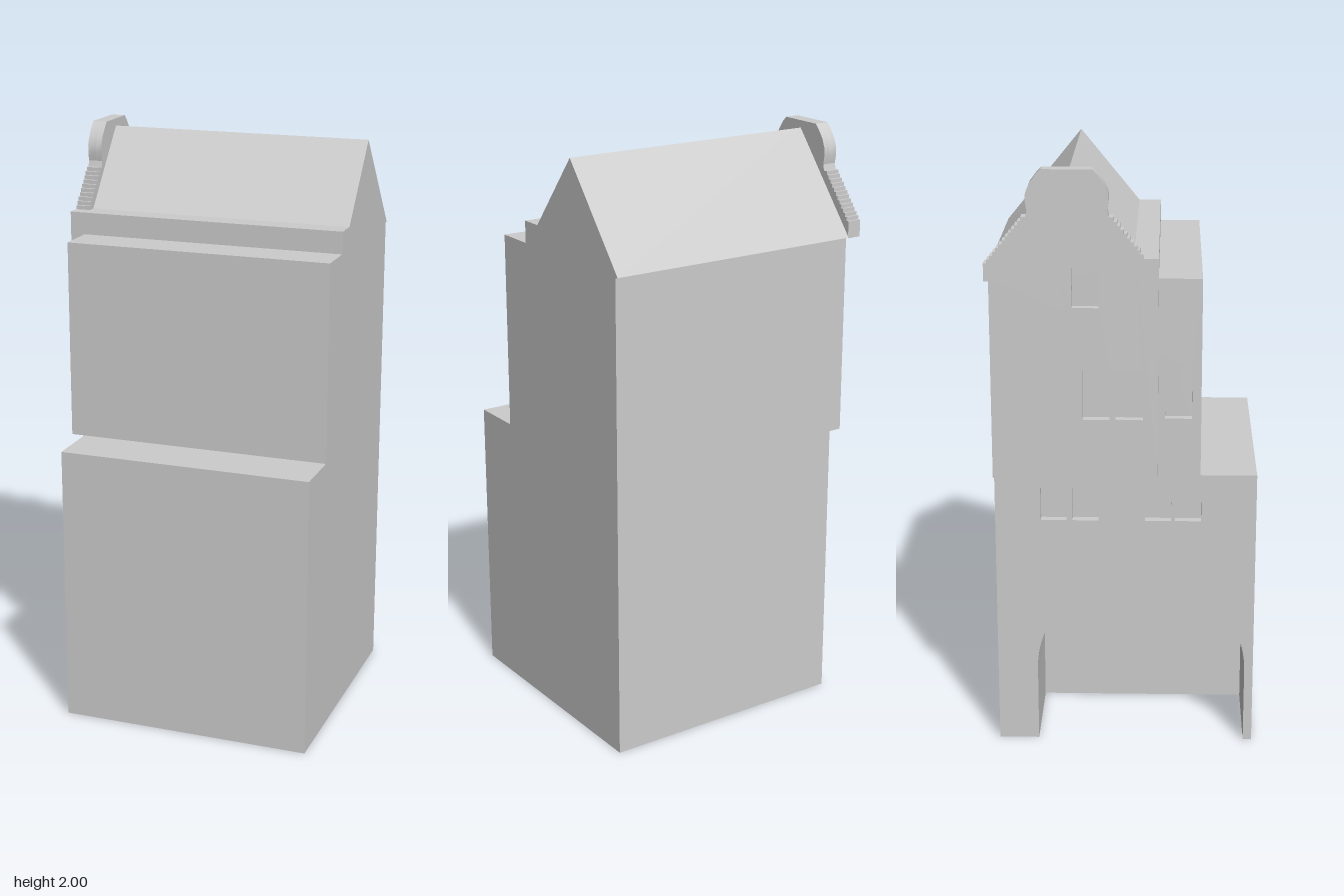
import * as THREE from 'three';
import { toCreasedNormals } from 'three/addons/utils/BufferGeometryUtils.js';

const stone = new THREE.MeshStandardMaterial({ color: 0xcccccc });
stone.name = 'pale stone';

// Rectangle as [z, y] points
const rect = (z0, z1, y0, y1) => [[z0, y0], [z1, y0], [z1, y1], [z0, y1]];
const toShape = (pts) => new THREE.Shape(pts.map(([z, y]) => new THREE.Vector2(z, y)));

// Extrudes a [z, y] outline with holes along x, from x0 to x1
function layer(name, outline, x0, x1, holes = []) {
  const shape = outline instanceof THREE.Shape ? outline.clone() : toShape(outline);
  shape.holes = holes.map(toShape);
  const geo = new THREE.ExtrudeGeometry(shape, { depth: x1 - x0, bevelEnabled: false, curveSegments: 32 });
  geo.rotateY(-Math.PI / 2).translate(x1, 0, 0);
  const mesh = new THREE.Mesh(toCreasedNormals(geo, 0.4), stone);
  mesh.name = name;
  return mesh;
}

// Ground storey outline with an arched gateway open at the bottom
function archedWall() {
  const s = new THREE.Shape();
  s.moveTo(-0.43, 0);
  s.lineTo(-0.295, 0);
  s.lineTo(-0.295, 0.265);
  s.absarc(0.058, 0.265, 0.353, Math.PI, 0, true);
  s.lineTo(0.411, 0);
  s.lineTo(0.44, 0);
  s.lineTo(0.44, 0.97);
  s.lineTo(-0.43, 0.97);
  s.closePath();
  return s;
}

// Gable with stepped shoulders and a rounded head, joined to the bay below
function gableOutline() {
  const mid = -0.175;
  const steps = 10;
  const stair = (d0, y0, d1, y1, n) => {
    const pts = [];
    for (let i = 0; i < n; i++) {
      const d = d0 + ((d1 - d0) * i) / n;
      pts.push([d, y0 + ((y1 - y0) * i) / n], [d, y0 + ((y1 - y0) * (i + 1)) / n]);
    }
    return pts;
  };
  const head = [[0.13, 1.85], [0.125, 1.87], [0.13, 1.9], [0.129, 1.925], [0.117, 1.955], [0.095, 1.985], [0.08, 2]];
  const near = [...stair(0.24, 1.72, 0.135, 1.85, steps), ...head];
  const far = [...stair(0.265, 1.69, 0.135, 1.85, steps + 3), ...head].reverse();
  return [
    [-0.19, 0.99], [0.112, 0.99], [0.112, 1.72],
    ...near.map(([d, y]) => [mid + d, y]),
    ...far.map(([d, y]) => [mid - d, y]),
    [-0.44, 1.645], [-0.19, 1.645],
  ];
}

export function createModel() {
  const model = new THREE.Group();
  model.name = 'gabledHouse';

  // Ground storey: solid rear, arched passage, and a face layer with window recesses
  const lowWindows = [-0.278, -0.172, 0.07, 0.17].map((z) => rect(z, z + 0.087, 0.807, 0.92));
  model.add(
    layer('groundStoreyRear', rect(-0.43, 0.44, 0, 0.97), -0.05, 0.48),
    layer('archedPassage', archedWall(), -0.36, -0.05),
    layer('groundStoreyFace', archedWall(), -0.39, -0.36, lowWindows),
  );

  // Upper storeys, stepped on one side, with the pitched roof overhanging at the other
  const upper = [
    [-0.43, 0.97], [0.252, 0.97], [0.252, 1.645], [0.112, 1.645], [0.112, 1.72],
    [0.034, 1.72], [-0.175, 1.975], [-0.443, 1.648], [-0.43, 1.645],
  ];
  model.add(
    layer('upperStoreysAndRoof', upper, -0.405, 0.48),
    layer('upperStoreysFace', upper, -0.435, -0.405, [rect(0.135, 0.222, 1.18, 1.35)]),
  );

  // Projecting bay and gable with recessed windows
  const gable = gableOutline();
  const bayWindows = [
    rect(-0.13, -0.044, 1.19, 1.355),
    rect(-0.025, 0.063, 1.19, 1.355),
    rect(-0.163, -0.077, 1.56, 1.69),
  ];
  model.add(
    layer('bayAndGableBack', gable, -0.455, -0.435),
    layer('bayAndGableFace', gable, -0.485, -0.455, bayWindows),
  );
  return model;
}
